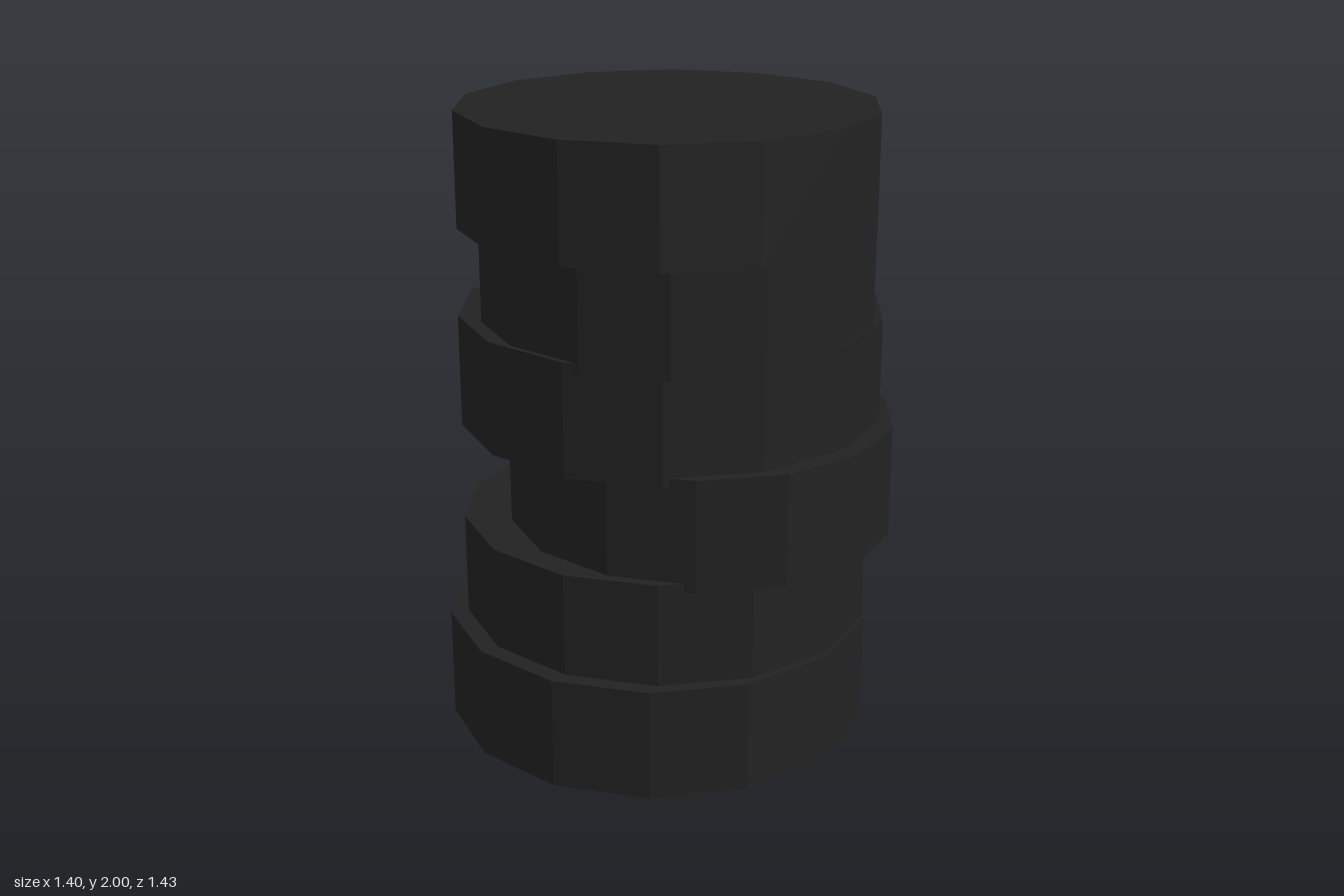
import * as THREE from 'three';

export function createModel() {
  const group = new THREE.Group();
  group.name = 'discStack';
  const material = new THREE.MeshStandardMaterial({ color: 0x222222, flatShading: true });

  // Uneven stack of 14-sided discs, each sunk slightly into the one below
  const height = 0.357;
  const step = (2 - height) / 5;
  // [radius, x, z], bottom to top
  const discs = [
    [0.685, -0.033, 0.03],
    [0.655, -0.018, 0.005],
    [0.614, 0.098, -0.015],
    [0.675, -0.022, -0.04],
    [0.617, 0.03, 0.013],
    [0.647, 0.015, 0.052],
  ];
  discs.forEach(([radius, x, z], i) => {
    const disc = new THREE.Mesh(new THREE.CylinderGeometry(radius, radius, height, 14), material);
    disc.name = `disc${i + 1}`;
    disc.position.set(x, height / 2 + i * step, z);
    group.add(disc);
  });
  return group;
}
